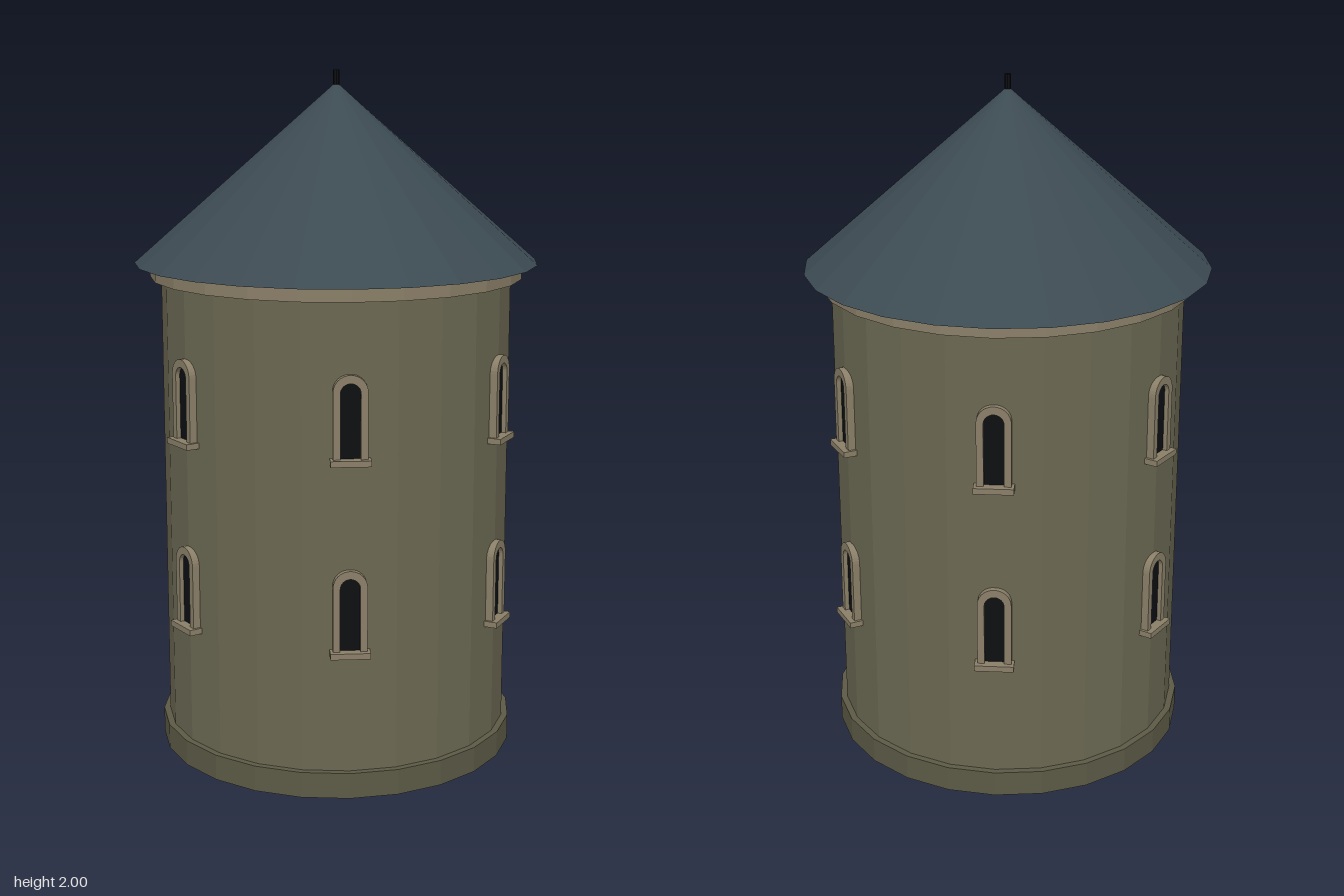
import * as THREE from 'three';

const SIDES = 24;

function material(name, color, extra = {}) {
  const m = new THREE.MeshStandardMaterial({ color, flatShading: true, ...extra });
  m.name = name;
  return m;
}

// Round-topped outline: half width w, from y0 up to the crown at y1
function archPath(Type, w, y0, y1) {
  const path = new Type();
  path.moveTo(-w, y0);
  path.lineTo(w, y0);
  path.lineTo(w, y1 - w);
  path.absarc(0, y1 - w, w, 0, Math.PI, false);
  path.lineTo(-w, y0);
  return path;
}

export function createModel() {
  const model = new THREE.Group();
  model.name = 'tower';

  const stone = material('wall stone', 0x6b6852);
  const plinthStone = material('plinth stone', 0x5c5a46);
  const trim = material('trim stone', 0x8a7f68);
  const slate = material('roof slate', 0x3c4a52);
  const dark = material('dark opening', 0x0d0f12);

  function add(parent, name, geometry, mat, y = 0, z = 0) {
    const mesh = new THREE.Mesh(geometry, mat);
    mesh.name = name;
    mesh.position.set(0, y, z);
    parent.add(mesh);
    return mesh;
  }

  // Stacked round body: bottom and top heights with radii
  function drum(name, rTop, rBottom, y0, y1, mat, sides = SIDES) {
    const g = new THREE.CylinderGeometry(rTop, rBottom, y1 - y0, sides);
    add(model, name, g, mat, (y0 + y1) / 2);
  }
  drum('plinth', 0.53, 0.53, 0, 0.075, plinthStone);
  drum('wall', 0.511, 0.511, 0.07, 1.42, stone);
  drum('cornice', 0.543, 0.543, 1.41, 1.453, trim);
  add(model, 'roof', new THREE.ConeGeometry(0.588, 0.515, SIDES), slate, 1.7085);
  drum('finial', 0.009, 0.009, 1.93, 2, dark, 8);

  // Window parts, measured from the underside of the sill
  const frameShape = archPath(THREE.Shape, 0.048, 0.01, 0.249);
  frameShape.holes.push(archPath(THREE.Path, 0.028, 0.016, 0.226));
  const frameGeo = new THREE.ExtrudeGeometry(frameShape, { depth: 0.032, bevelEnabled: false, curveSegments: 8 });
  const paneGeo = new THREE.ExtrudeGeometry(archPath(THREE.Shape, 0.03, 0.014, 0.228),
    { depth: 0.008, bevelEnabled: false, curveSegments: 8 });
  const sillGeo = new THREE.BoxGeometry(0.112, 0.017, 0.048);

  // Two storeys of six windows around the wall
  for (const y of [0.417, 0.963]) {
    for (let i = 0; i < 6; i++) {
      const win = new THREE.Group();
      win.name = 'window';
      win.position.y = y;
      win.rotation.y = i * Math.PI / 3;
      add(win, 'windowFrame', frameGeo, trim, 0, 0.495);
      add(win, 'windowOpening', paneGeo, dark, 0, 0.506);
      add(win, 'windowSill', sillGeo, trim, 0.0085, 0.519);
      model.add(win);
    }
  }
  return model;
}
